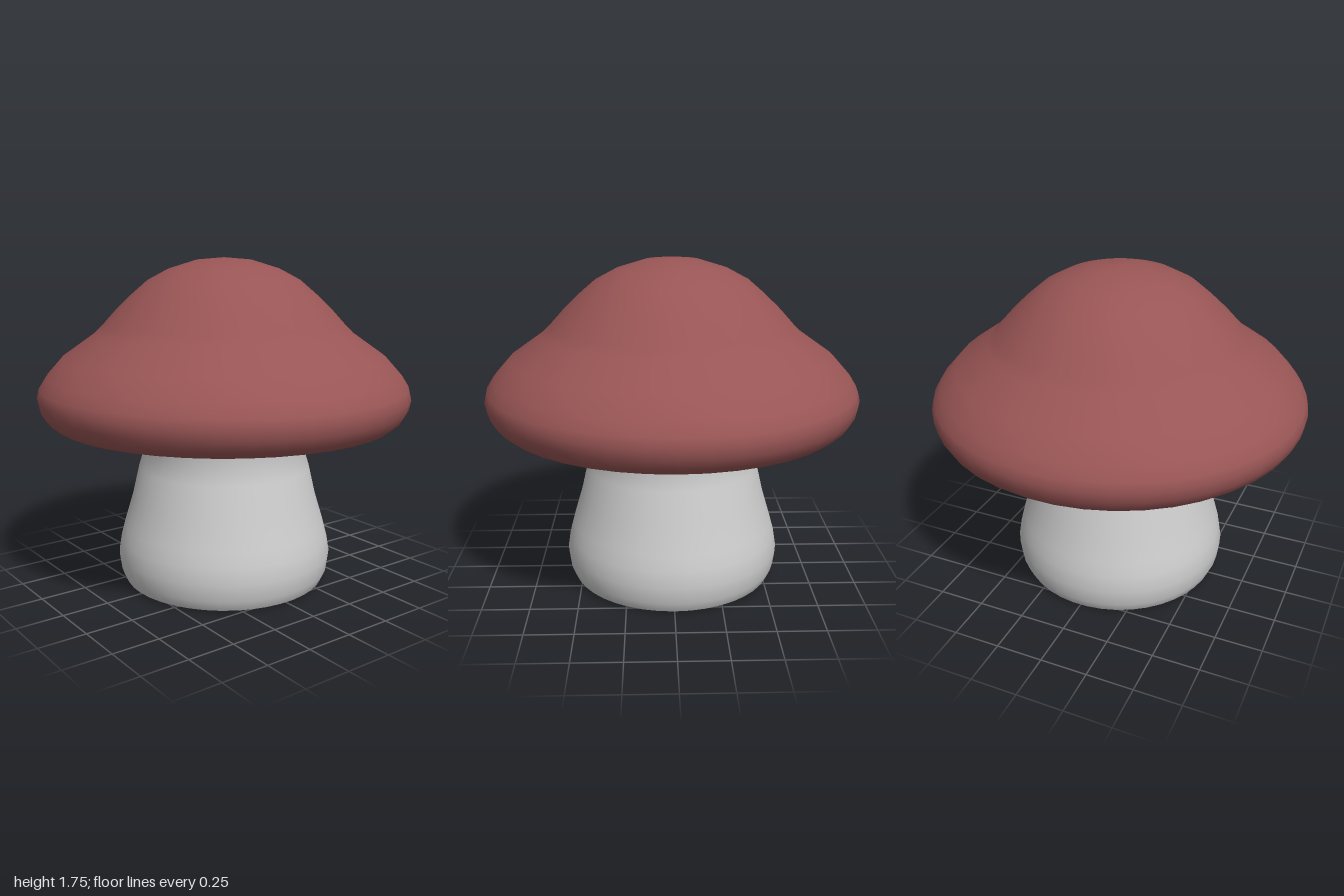
import * as THREE from 'three';

const SIDES = 42;

// Smooth turned part from [radius, height] pairs, listed bottom to top
function turned(name, profile, color) {
  const points = profile.map(([r, y]) => new THREE.Vector2(r, y));
  const material = new THREE.MeshStandardMaterial({ color, side: THREE.DoubleSide });
  const mesh = new THREE.Mesh(new THREE.LatheGeometry(points, SIDES), material);
  mesh.name = name;
  return mesh;
}

export function createModel() {
  const group = new THREE.Group();
  group.name = 'mushroom';

  // Hollow stem: open base ring, bulging foot, narrow neck, flaring into the underside of the cap
  group.add(turned('stemAndGills', [
    [0.39, 0], [0.54, 0], [0.55, 0.005], [0.575, 0.06], [0.587, 0.15], [0.573, 0.235],
    [0.553, 0.31], [0.505, 0.47], [0.468, 0.63], [0.42, 0.785],
    [0.48, 0.813], [0.845, 0.872],
  ], 0xcccccc));

  // Cap: rolled rim, sloping brim, shallow valley and a rounded dome
  group.add(turned('cap', [
    [0.845, 0.872], [0.915, 0.89], [0.957, 0.925], [0.985, 0.975], [0.997, 1.03],
    [0.985, 1.08], [0.947, 1.14], [0.86, 1.237], [0.69, 1.357], [0.645, 1.402],
    [0.57, 1.485], [0.495, 1.557], [0.404, 1.635], [0.293, 1.694], [0.144, 1.74],
    [0, 1.752],
  ], 0x995555));

  return group;
}
